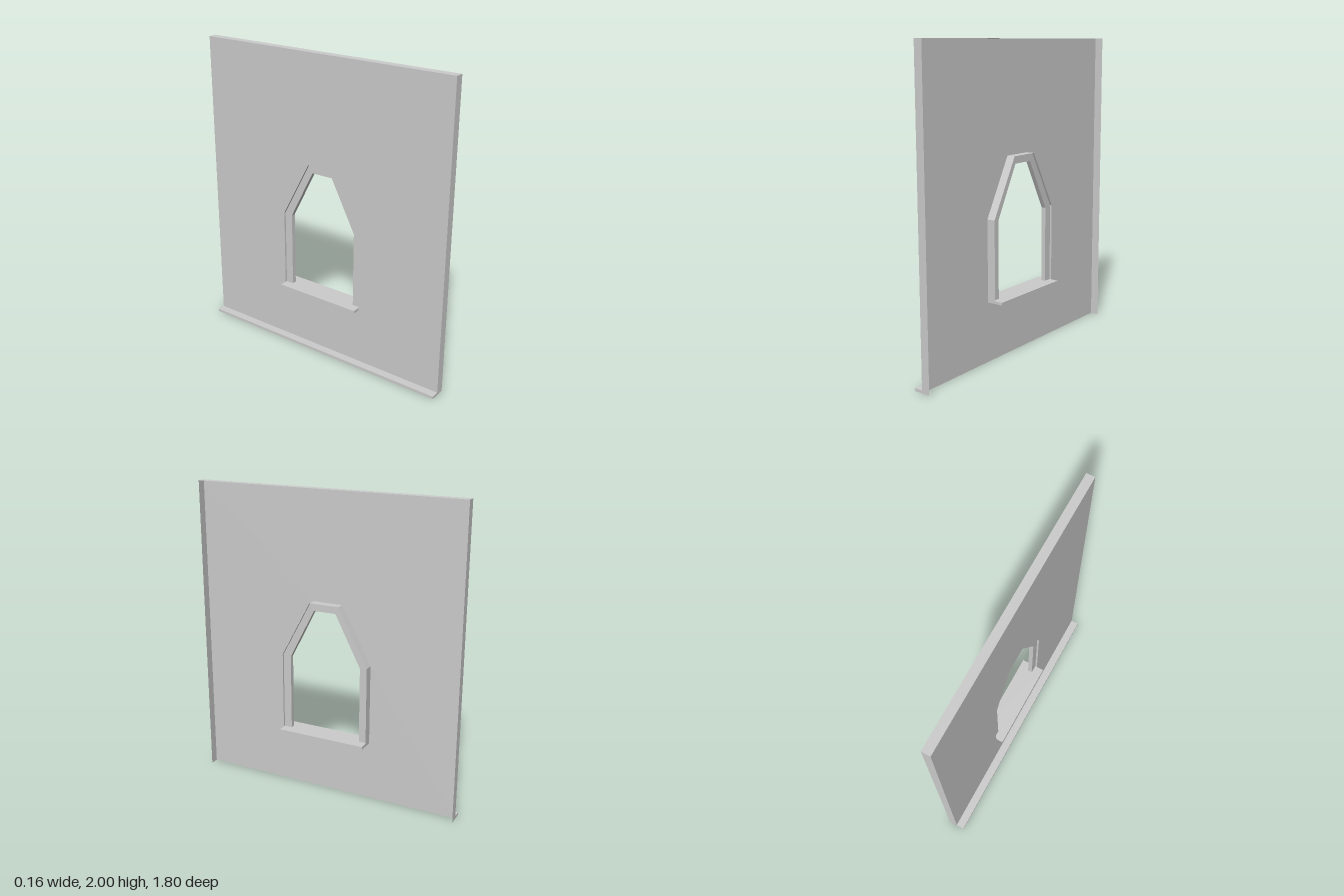
import * as THREE from 'three';

const material = new THREE.MeshStandardMaterial({ color: 0xcccccc, flatShading: true, side: THREE.DoubleSide });

const BACK = -0.028, FRONT = 0.028; // wall thickness along x
const HALF = 0.9, HEIGHT = 2;       // wall half width along z, and height

// Pointed window outline in (z, y), symmetric about z = 0
function windowOutline(half, bottom, shoulder, topHalf, top) {
  return [[-half, bottom], [half, bottom], [half, shoulder], [topHalf, top], [-topHalf, top], [-half, shoulder]]
    .map(([z, y]) => new THREE.Vector2(z, y));
}

function addMesh(group, name, geometry) {
  const mesh = new THREE.Mesh(geometry, material);
  mesh.name = name;
  group.add(mesh);
  return mesh;
}

function addBox(group, name, x0, x1, y0, y1, half) {
  const mesh = addMesh(group, name, new THREE.BoxGeometry(x1 - x0, y1 - y0, half * 2));
  mesh.position.set((x0 + x1) / 2, (y0 + y1) / 2, 0);
}

// Strip that follows a (z, y) path and spans the wall thickness
function stripGeometry(points) {
  const positions = [];
  for (let i = 0; i < points.length - 1; i++) {
    const a = points[i], b = points[i + 1];
    positions.push(
      BACK, a.y, a.x, FRONT, a.y, a.x, FRONT, b.y, b.x,
      BACK, a.y, a.x, FRONT, b.y, b.x, BACK, b.y, b.x);
  }
  const geometry = new THREE.BufferGeometry();
  geometry.setAttribute('position', new THREE.Float32BufferAttribute(positions, 3));
  geometry.computeVertexNormals();
  return geometry;
}

export function createModel() {
  const group = new THREE.Group();
  group.name = 'wallWithWindow';

  const outer = windowOutline(0.3, 0.39, 0.917, 0.1, 1.287);
  const inner = windowOutline(0.247, 0.39, 0.906, 0.075, 1.237);

  // Wall sheet with the window opening; the +x side is open
  const edge = [[-HALF, 0], [-HALF, HEIGHT], [HALF, HEIGHT], [HALF, 0]].map(([z, y]) => new THREE.Vector2(z, y));
  const wall = new THREE.Shape(edge);
  wall.holes.push(new THREE.Path(outer));
  const sheet = new THREE.ShapeGeometry(wall);
  sheet.rotateY(-Math.PI / 2);
  sheet.translate(BACK, 0, 0);
  addMesh(group, 'wallSheet', sheet);

  // Ends and top of the wall, and the lining of the opening
  addMesh(group, 'wallEdges', stripGeometry(edge));
  addMesh(group, 'openingLining', stripGeometry([...outer.slice(1), outer[0]]));

  // Window frame set in the middle of the opening, open at the bottom
  const frame = new THREE.Shape([
    outer[0], inner[0], inner[5], inner[4], inner[3], inner[2], inner[1],
    outer[1], outer[2], outer[3], outer[4], outer[5],
  ]);
  const frameGeometry = new THREE.ExtrudeGeometry(frame, { depth: 0.03, bevelEnabled: false });
  frameGeometry.rotateY(Math.PI / 2);
  frameGeometry.translate(-0.015, 0, 0);
  addMesh(group, 'windowFrame', frameGeometry);

  // Window sill through the wall, and the ledge along its foot
  addBox(group, 'windowSill', -0.077, 0.082, 0.39, 0.408, 0.3);
  addBox(group, 'baseLedge', -0.082, BACK, 0, 0.018, HALF);

  return group;
}
